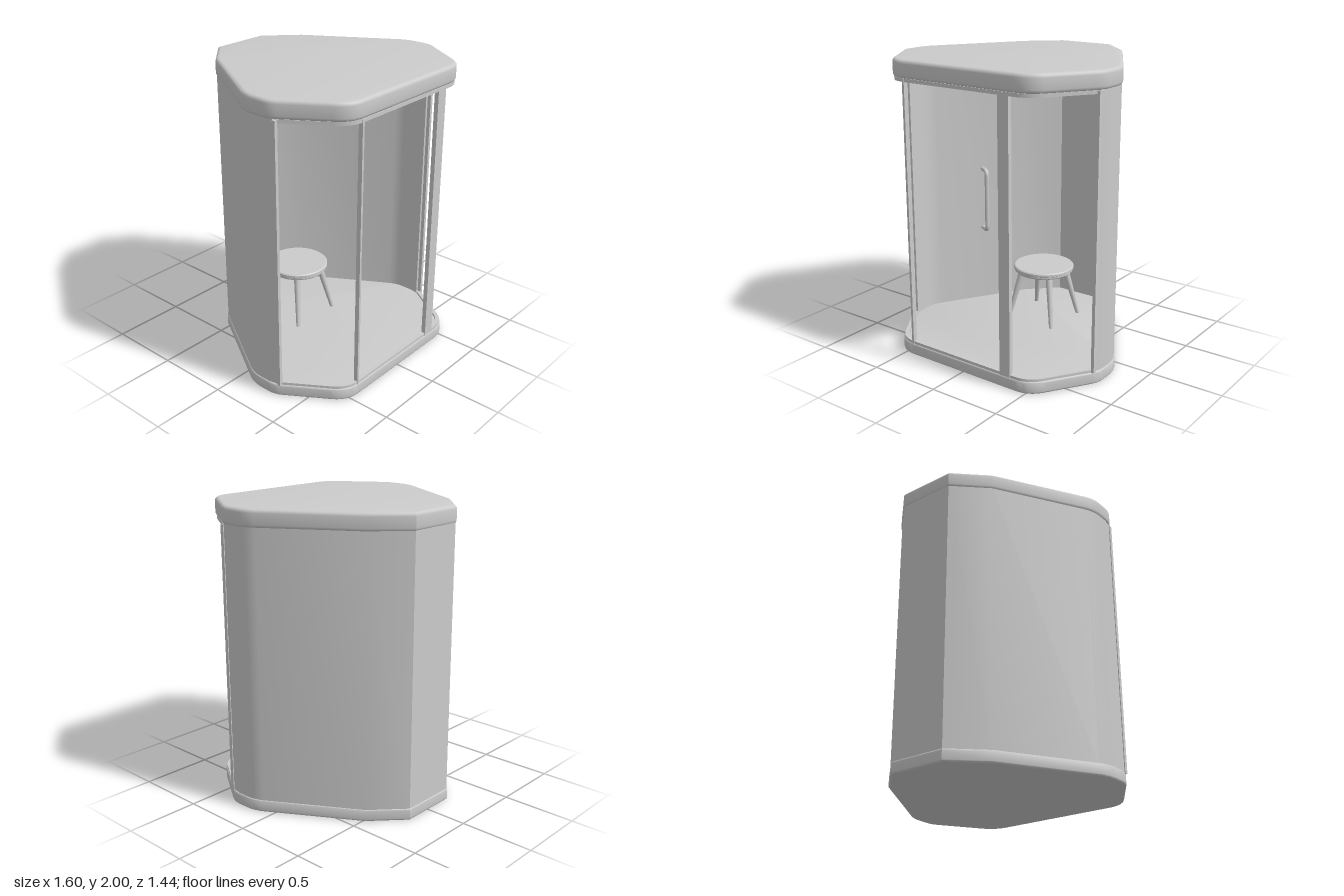
import * as THREE from 'three';
import { toCreasedNormals } from 'three/addons/utils/BufferGeometryUtils.js';

const material = new THREE.MeshStandardMaterial({ color: 0xcccccc, side: THREE.DoubleSide });
const V2 = (x, z) => new THREE.Vector2(x, z);

function part(parent, name, geometry, x = 0, y = 0, z = 0) {
  const mesh = new THREE.Mesh(geometry, material);
  mesh.name = name;
  mesh.position.set(x, y, z);
  parent.add(mesh);
  return mesh;
}

// Mirror a right-hand half plan (front to back) into a full run of points
const mirrored = (half) => [...half, ...half.map((p) => V2(-p.x, p.y)).reverse()];

// Extrude a plan polygon given as (x, z) between two heights
function prism(plan, y0, y1, bevel = 0) {
  const shape = new THREE.Shape(plan.map((p) => V2(p.x, -p.y)));
  const geo = new THREE.ExtrudeGeometry(shape, {
    depth: y1 - y0 - 2 * bevel, bevelEnabled: bevel > 0, bevelSize: bevel,
    bevelThickness: bevel, bevelOffset: -bevel, bevelSegments: 4,
  });
  geo.rotateX(-Math.PI / 2).translate(0, y0 + bevel, 0);
  return toCreasedNormals(geo, 0.6);
}

// Offset an open run of points sideways with mitred corners
function offset(points, d) {
  const normal = (a, b) => V2(b.y - a.y, a.x - b.x).normalize();
  return points.map((p, i) => {
    const before = i > 0 ? normal(points[i - 1], p) : normal(p, points[i + 1]);
    const after = i < points.length - 1 ? normal(p, points[i + 1]) : before;
    const mitre = before.clone().add(after).normalize();
    return p.clone().addScaledVector(mitre, d / mitre.dot(before));
  });
}

// Strip of constant thickness following a run of points
const band = (points, thickness, y0, y1) =>
  prism([...points, ...offset(points, thickness).reverse()], y0, y1);

export function createModel() {
  const booth = new THREE.Group();
  booth.name = 'booth';

  // Plan: wide rounded front corners, short sides, tapering to the back
  const frontCorner = new THREE.QuadraticBezierCurve(V2(0.43, 0.72), V2(0.54, 0.72), V2(0.6, 0.62)).getPoints(10);
  const sideCorner = new THREE.QuadraticBezierCurve(V2(0.798, 0.2), V2(0.798, 0.13), V2(0.765, 0.07)).getPoints(6);
  const sideFront = new THREE.QuadraticBezierCurve(V2(0.77, 0.36), V2(0.798, 0.315), V2(0.798, 0.27)).getPoints(4);
  const back = [V2(0.41, -0.52), V2(0.2, -0.72)];
  const outline = mirrored([...frontCorner, ...sideFront, ...sideCorner, ...back]);

  part(booth, 'floor', prism(outline, 0, 0.085, 0.015));
  part(booth, 'roof', prism(outline, 1.88, 2, 0.025));

  // Continuous wall round the sides and back
  const wallPath = mirrored([V2(0.777, 0.335), V2(0.79, 0.27), ...sideCorner.map((p) => V2(p.x - 0.008, p.y)),
    V2(0.405, -0.517), V2(0.197, -0.715)]);
  part(booth, 'wall', band(wallPath, 0.03, 0.07, 1.9));

  // Slim rails above and below the open glazing
  const railHalf = [V2(0.3, 0.715), ...frontCorner.map((p) => V2(p.x - 0.006, p.y - 0.005)), V2(0.772, 0.345)];
  const railPath = mirrored([...railHalf].reverse());
  for (const [name, y0, y1] of [['bottomRail', 0.08, 0.1], ['topRail', 1.862, 1.885]]) {
    part(booth, name, band(railPath, -0.028, y0, y1).clone());
  }

  // Uprights of the front: broad post, slim post and the side jambs
  part(booth, 'broadPost', new THREE.BoxGeometry(0.08, 1.8, 0.03), 0.35, 0.98, 0.702);
  part(booth, 'slimPost', new THREE.BoxGeometry(0.016, 1.8, 0.03), -0.432, 0.98, 0.702);
  for (const side of [1, -1]) {
    part(booth, 'sideJamb', new THREE.BoxGeometry(0.022, 1.8, 0.025), side * 0.772, 0.98, 0.345);
  }

  // Pull handle standing off the inside of the right wall
  const grip = new THREE.CurvePath();
  const P = (out, y) => new THREE.Vector3(out, y, 0);
  grip.add(new THREE.LineCurve3(P(-0.01, 0.64), P(0.045, 0.64)));
  grip.add(new THREE.QuadraticBezierCurve3(P(0.045, 0.64), P(0.08, 0.64), P(0.08, 0.68)));
  grip.add(new THREE.LineCurve3(P(0.08, 0.68), P(0.08, 1.05)));
  grip.add(new THREE.QuadraticBezierCurve3(P(0.08, 1.05), P(0.08, 1.09), P(0.045, 1.09)));
  grip.add(new THREE.LineCurve3(P(0.045, 1.09), P(-0.01, 1.09)));
  const handle = part(booth, 'handle', new THREE.TubeGeometry(grip, 60, 0.016, 12), -0.555, 0, -0.205);
  handle.rotation.y = -Math.PI / 6;

  // Round stool on four splayed legs
  const stool = new THREE.Group();
  stool.name = 'stool';
  stool.position.set(0, 0, -0.2);
  booth.add(stool);
  const seatProfile = [[0, 0.43], [0.2, 0.43], [0.207, 0.437], [0.207, 0.448], [0.213, 0.452],
    [0.213, 0.468], [0.206, 0.475], [0, 0.475]].map(([r, y]) => V2(r, y));
  part(stool, 'seat', toCreasedNormals(new THREE.LatheGeometry(seatProfile, 40), 0.6));
  const up = new THREE.Vector3(0, 1, 0);
  for (const sx of [1, -1]) for (const sz of [1, -1]) {
    const foot = new THREE.Vector3(sx * 0.185, 0.08, sz * 0.17);
    const head = new THREE.Vector3(sx * 0.115, 0.435, sz * 0.1);
    const run = head.clone().sub(foot);
    const leg = part(stool, 'leg', new THREE.CylinderGeometry(0.024, 0.014, run.length(), 14));
    leg.position.copy(foot).add(head).multiplyScalar(0.5);
    leg.quaternion.setFromUnitVectors(up, run.normalize());
  }
  return booth;
}
